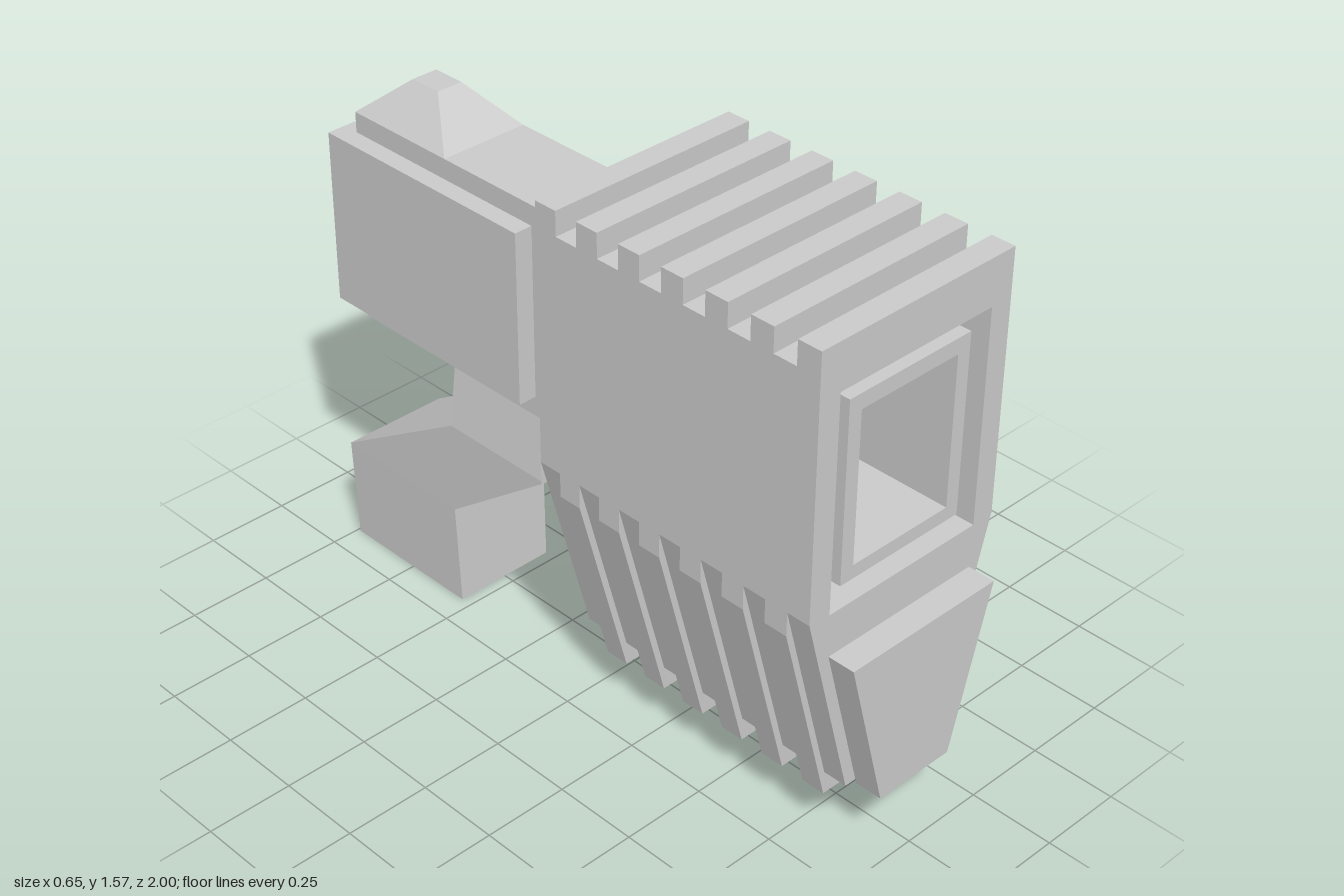
import * as THREE from 'three';

const material = new THREE.MeshStandardMaterial({ color: 0xcccccc, flatShading: true });

function add(parent, name, geometry, x = 0, y = 0, z = 0) {
  const mesh = new THREE.Mesh(geometry, material);
  mesh.name = name;
  mesh.position.set(x, y, z);
  parent.add(mesh);
  return mesh;
}

// Closed solid through four-cornered rings, each counter-clockwise seen from the last ring's side
function loft(rings) {
  const pos = [];
  const quad = (a, b, c, d) => [a, b, c, a, c, d].forEach((p) => pos.push(...p));
  for (let k = 0; k < rings.length - 1; k++) {
    for (let i = 0; i < 4; i++) {
      const j = (i + 1) % 4;
      quad(rings[k][i], rings[k][j], rings[k + 1][j], rings[k + 1][i]);
    }
  }
  const [s, e] = [rings[0], rings[rings.length - 1]];
  quad(s[3], s[2], s[1], s[0]);
  quad(e[0], e[1], e[2], e[3]);
  const g = new THREE.BufferGeometry();
  g.setAttribute('position', new THREE.Float32BufferAttribute(pos, 3));
  g.computeVertexNormals();
  return g;
}

// Ring lying flat at height y, and ring standing upright at depth z
const flatRing = (y, x, front, back) => [[-x, y, front], [x, y, front], [x, y, back], [-x, y, back]];
const uprightRing = (z, x, y0, y1) => [[-x, y0, z], [x, y0, z], [x, y1, z], [-x, y1, z]];

const polygon = (points) => new THREE.Shape(points.map(([x, y]) => new THREE.Vector2(x, y)));
const rect = (x, y0, y1) => polygon([[-x, y0], [x, y0], [x, y1], [-x, y1]]);
const extrude = (shape, depth) => new THREE.ExtrudeGeometry(shape, { depth, bevelEnabled: false });

export function createModel() {
  const model = new THREE.Group();
  model.name = 'blaster';

  // Ribbed body: 13 slices of one profile, every other one raised
  const body = new THREE.Group();
  body.name = 'ribbedBody';
  model.add(body);
  const count = 13, length = 0.92, step = length / count;
  for (let i = 0; i < count; i++) {
    const lift = i % 2 === 0 ? 0.07 : 0;
    const shape = polygon([
      [-0.165, 0.165 + lift], [0.165, 0.165 + lift], [0.325, 0.75 + lift],
      [0.325, 1.5 + lift], [-0.325, 1.5 + lift], [-0.325, 0.75 + lift],
    ]);
    // Wide recess at the muzzle, narrower bore behind it, solid rear slice
    if (i < 2) shape.holes.push(rect(0.257, 0.815, 1.435));
    else if (i < count - 1) shape.holes.push(rect(0.165, 0.905, 1.34));
    add(body, 'bodySlice', extrude(shape, step), 0, 0, length - (i + 1) * step);
  }

  // Rectangular barrel sleeve inside the muzzle recess
  const sleeve = rect(0.207, 0.865, 1.385);
  sleeve.holes.push(rect(0.165, 0.905, 1.34));
  add(model, 'barrelSleeve', extrude(sleeve, 2 * step - 0.015), 0, 0, length - 2 * step);

  // Tapered plate under the muzzle
  const plate = polygon([[-0.125, 0.22], [0.125, 0.22], [0.253, 0.69], [-0.253, 0.69]]);
  add(model, 'frontPlate', extrude(plate, 0.08), 0, 0, length);

  // Neck narrowing from the body to the rear
  add(model, 'neck', loft([uprightRing(-0.17, 0.135, 0.76, 1.39), uprightRing(0, 0.325, 0.75, 1.5)]));

  // Rear core and the wider casing around it
  add(model, 'rearCore', new THREE.BoxGeometry(0.27, 0.63, 0.75), 0, 1.075, -0.545);
  add(model, 'rearCasing', new THREE.BoxGeometry(0.38, 0.51, 0.74), 0, 1.075, -0.6);

  // Rear sight
  add(model, 'rearSight', loft([flatRing(1.39, 0.135, -0.56, -0.92), flatRing(1.5, 0.04, -0.69, -0.79)]));

  // Cranked grip
  add(model, 'grip', loft([
    flatRing(0, 0.16, -0.535, -0.99),
    flatRing(0.31, 0.165, -0.545, -1),
    flatRing(0.59, 0.165, -0.17, -0.545),
    flatRing(0.76, 0.135, -0.17, -0.555),
  ]));

  return model;
}
